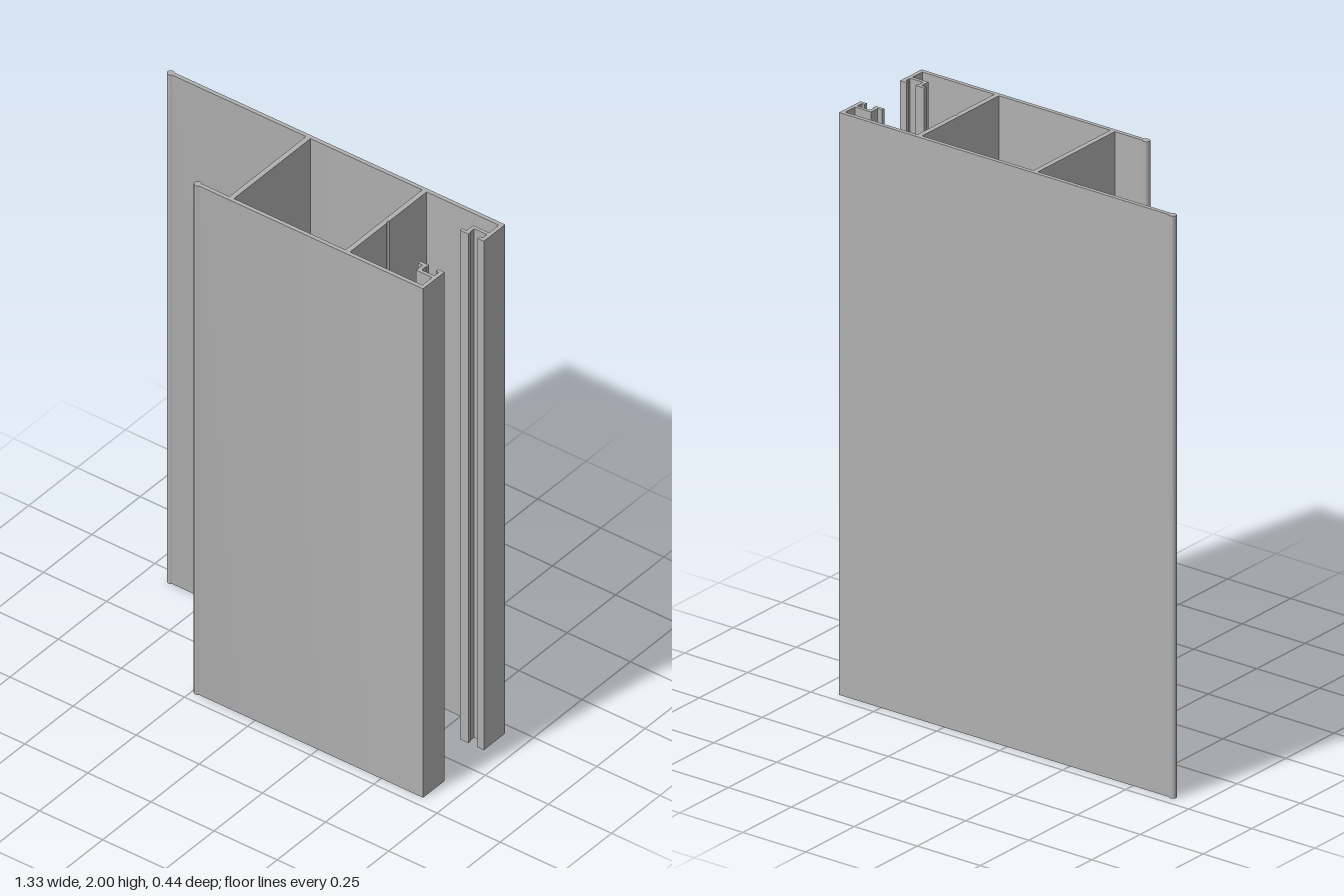
import * as THREE from 'three';
import { toCreasedNormals } from 'three/addons/utils/BufferGeometryUtils.js';

const HEIGHT = 2;
const OUT = 0.2125, IN = 0.198;      // outer and inner face of the side walls
const MID = (OUT + IN) / 2, BEAD = 0.0125;

// Extrudes a plan outline of [x, z] points upward from the ground
function extrudePlan(name, points, material) {
  const shape = new THREE.Shape(points.map(([x, z]) => new THREE.Vector2(x, -z)));
  const geometry = new THREE.ExtrudeGeometry(shape, { depth: HEIGHT, bevelEnabled: false });
  geometry.rotateX(-Math.PI / 2);
  const mesh = new THREE.Mesh(toCreasedNormals(geometry, 0.6), material);
  mesh.name = name;
  return mesh;
}

// Side wall with a rounded bead on its free edge and a hooked track at the right end
function wallPlan(beadX, side) {
  const points = [];
  const start = Math.asin((OUT - IN) / 2 / BEAD);
  const steps = 18;
  for (let i = 0; i <= steps; i++) {
    const a = start + (2 * Math.PI - 2 * start) * i / steps;
    points.push([beadX + BEAD * Math.cos(a), MID + BEAD * Math.sin(a)]);
  }
  points.push(
    [0.652, IN], [0.652, 0.148],
    // track shelf, stem and foot
    [0.589, 0.148], [0.589, 0.114], [0.571, 0.114], [0.571, 0.102],
    [0.605, 0.102], [0.605, 0.114], [0.602, 0.114], [0.602, 0.136],
    // end lip and its foot
    [0.652, 0.136], [0.652, 0.114], [0.641, 0.114], [0.641, 0.102],
    [0.666, 0.102], [0.666, OUT],
  );
  return points.map(([x, z]) => [x, z * side]);
}

export function createModel() {
  const model = new THREE.Group();
  model.name = 'extrudedProfile';
  const aluminium = new THREE.MeshStandardMaterial({ color: 0xb0b0b0 });
  aluminium.name = 'aluminium grey';

  model.add(extrudePlan('backWall', wallPlan(-0.653, -1), aluminium));
  model.add(extrudePlan('frontWall', wallPlan(-0.232, 1), aluminium));

  // Cross webs joining the walls
  model.add(extrudePlan('leftWeb',
    [[-0.112, -IN], [-0.094, -IN], [-0.094, IN], [-0.112, IN]], aluminium));
  // The second web has a small centring groove on its outer face
  model.add(extrudePlan('groovedWeb',
    [[0.348, -IN], [0.366, -IN], [0.366, -0.006], [0.361, 0], [0.366, 0.006],
      [0.366, IN], [0.348, IN]], aluminium));

  return model;
}
